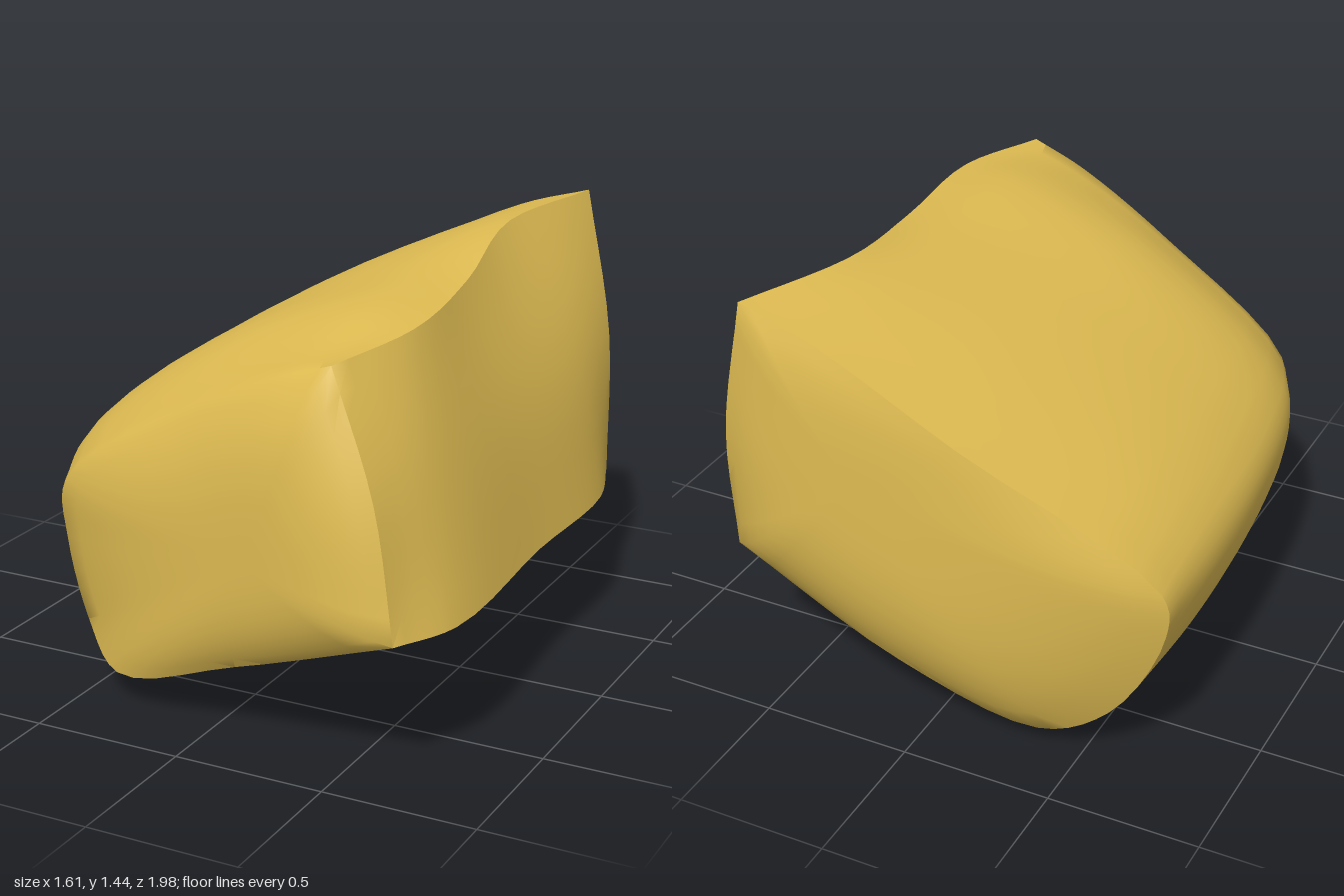
import * as THREE from 'three';
import { mergeVertices, toCreasedNormals } from 'three/addons/utils/BufferGeometryUtils.js';

// Long lines of the boulder, each running from front rim to back rim,
// listed counterclockwise around the section as seen from the front.
const RAILS = [
  [[0.46, 1.27, 0.86], [0.55, 1.3, 0.5], [0.5, 1.33, 0], [0.43, 1.41, -0.5], [0.54, 1.44, -0.94]],          // upper right edge
  [[0.26, 1.2, 0.84], [0.3, 1.31, 0.45], [0.28, 1.33, 0], [0.25, 1.36, -0.5], [0.28, 1.36, -0.95]],         // crest
  [[-0.1, 1.03, 0.77], [-0.18, 1.13, 0.45], [-0.2, 1.15, 0], [-0.2, 1.155, -0.5], [-0.18, 1.13, -0.95]],    // top
  [[-0.57, 0.71, 0.7], [-0.67, 0.75, 0.44], [-0.74, 0.75, 0], [-0.76, 0.76, -0.45], [-0.78, 0.73, -0.82]],  // upper left
  [[-0.59, 0.5, 0.67], [-0.7, 0.56, 0.43], [-0.77, 0.58, 0], [-0.8, 0.6, -0.45], [-0.79, 0.57, -0.8]],      // left
  [[-0.52, 0.23, 0.67], [-0.57, 0.19, 0.4], [-0.6, 0.18, 0], [-0.61, 0.18, -0.4], [-0.6, 0.21, -0.78]],     // lower left
  [[-0.36, 0.11, 0.76], [-0.4, 0.04, 0.5], [-0.4, 0.03, 0], [-0.38, 0.005, -0.5], [-0.36, 0.075, -0.79]],   // keel
  [[0.12, 0.26, 0.84], [0.08, 0.19, 0.5], [0.05, 0.17, 0], [0.05, 0.17, -0.5], [0.1, 0.22, -0.84]],         // underside
  [[0.71, 0.49, 0.96], [0.8, 0.48, 0.72], [0.77, 0.47, 0], [0.76, 0.46, -0.58], [0.69, 0.48, -0.82]],       // lower right edge
  [[0.63, 0.9, 0.93], [0.68, 0.92, 0.6], [0.66, 0.93, 0], [0.66, 0.95, -0.55], [0.65, 0.95, -0.9]],         // right
].map(rail => new THREE.CatmullRomCurve3(rail.map(p => new THREE.Vector3(...p)), false, 'centripetal'));
const LOWER_RIGHT = 8;
const FRONT = { centre: new THREE.Vector3(0.2, 0.65, 0.935), slope: 0.24 };
const BACK = { centre: new THREE.Vector3(0.15, 0.92, -0.985), slope: -0.04 };
const BODY_STEPS = 20, CAP_STEPS = 10, SIDE_STEPS = 5;

// A smooth run through some corners, without its last point
function softRun(points) {
  return new THREE.CatmullRomCurve3(points, false, 'centripetal')
    .getPoints((points.length - 1) * SIDE_STEPS).slice(0, -1);
}

// One closed section: rounded everywhere but at the two sharp right edges
function section(t) {
  const c = RAILS.map(rail => rail.getPoint(t));
  return [...softRun(c.slice(0, LOWER_RIGHT + 1)), ...softRun([...c.slice(LOWER_RIGHT), c[0]])];
}

// Shrink a rim onto a tilted plane, which curves over to meet the rim
function capRing(rim, { centre, slope }, t) {
  return rim.map(p => {
    const q = centre.clone().lerp(p, t);
    const drop = p.z - centre.z - slope * (p.x - centre.x);
    q.z = centre.z + slope * (q.x - centre.x) + drop * t ** 3.5;
    return q;
  });
}

function boulderGeometry() {
  const rings = [];
  const front = section(0), back = section(1);
  for (let i = 0; i < CAP_STEPS; i++) rings.push(capRing(front, FRONT, i / CAP_STEPS));
  for (let i = 0; i <= BODY_STEPS; i++) rings.push(section(i / BODY_STEPS));
  for (let i = CAP_STEPS - 1; i >= 0; i--) rings.push(capRing(back, BACK, i / CAP_STEPS));

  const n = front.length, index = [];
  for (let j = 0; j < rings.length - 1; j++) {
    for (let i = 0; i < n; i++) {
      const a = j * n + i, b = j * n + (i + 1) % n;
      // The first and last rings are single points
      if (j < rings.length - 2) index.push(a, a + n, b + n);
      if (j > 0) index.push(a, b + n, b);
    }
  }
  const geometry = new THREE.BufferGeometry().setFromPoints(rings.flat());
  geometry.setIndex(index);
  return toCreasedNormals(mergeVertices(geometry), THREE.MathUtils.degToRad(48));
}

export function createModel() {
  const group = new THREE.Group();
  group.name = 'rock';
  const boulder = new THREE.Mesh(boulderGeometry(), new THREE.MeshStandardMaterial({ color: 0xdfbc52 }));
  boulder.name = 'boulder';
  group.add(boulder);
  return group;
}
